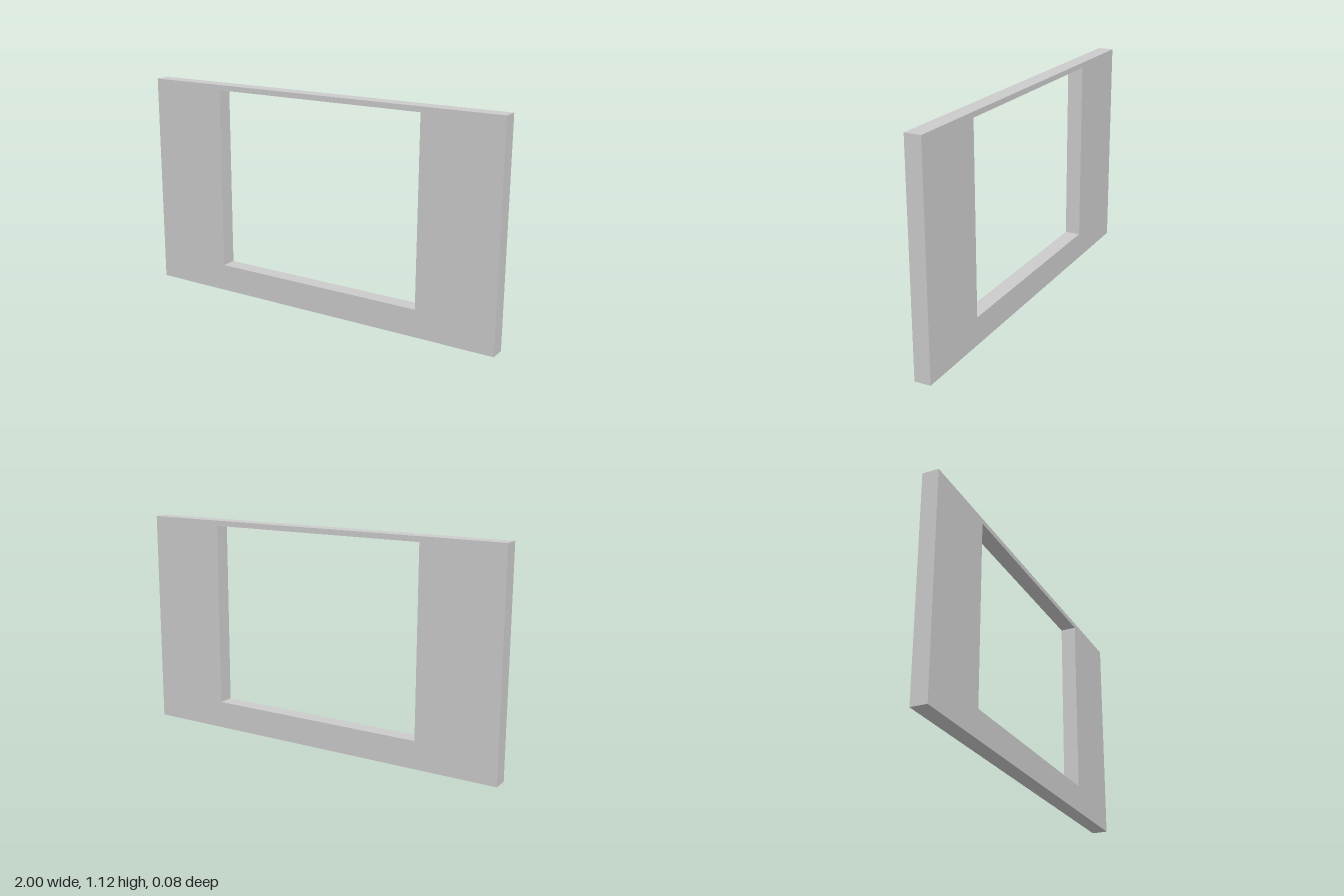
import * as THREE from 'three';

const WIDTH = 2, HEIGHT = 1.12, DEPTH = 0.082;
const OPENING = { left: -0.576, right: 0.588, bottom: 0.142, top: 1.093 };

// Corner points of an upright rectangle
const rectangle = (x0, y0, x1, y1) => [
  new THREE.Vector2(x0, y0), new THREE.Vector2(x1, y0),
  new THREE.Vector2(x1, y1), new THREE.Vector2(x0, y1),
];

export function createModel() {
  const model = new THREE.Group();
  model.name = 'wallWithOpening';

  // Wall panel with a slightly off-centre window opening
  const outline = new THREE.Shape(rectangle(-WIDTH / 2, 0, WIDTH / 2, HEIGHT));
  outline.holes.push(new THREE.Path(
    rectangle(OPENING.left, OPENING.bottom, OPENING.right, OPENING.top)));

  const geometry = new THREE.ExtrudeGeometry(outline, { depth: DEPTH, bevelEnabled: false });
  geometry.translate(0, 0, -DEPTH / 2);

  const wall = new THREE.Mesh(geometry, new THREE.MeshStandardMaterial({ color: 0xcccccc }));
  wall.name = 'wallPanel';
  model.add(wall);

  return model;
}
